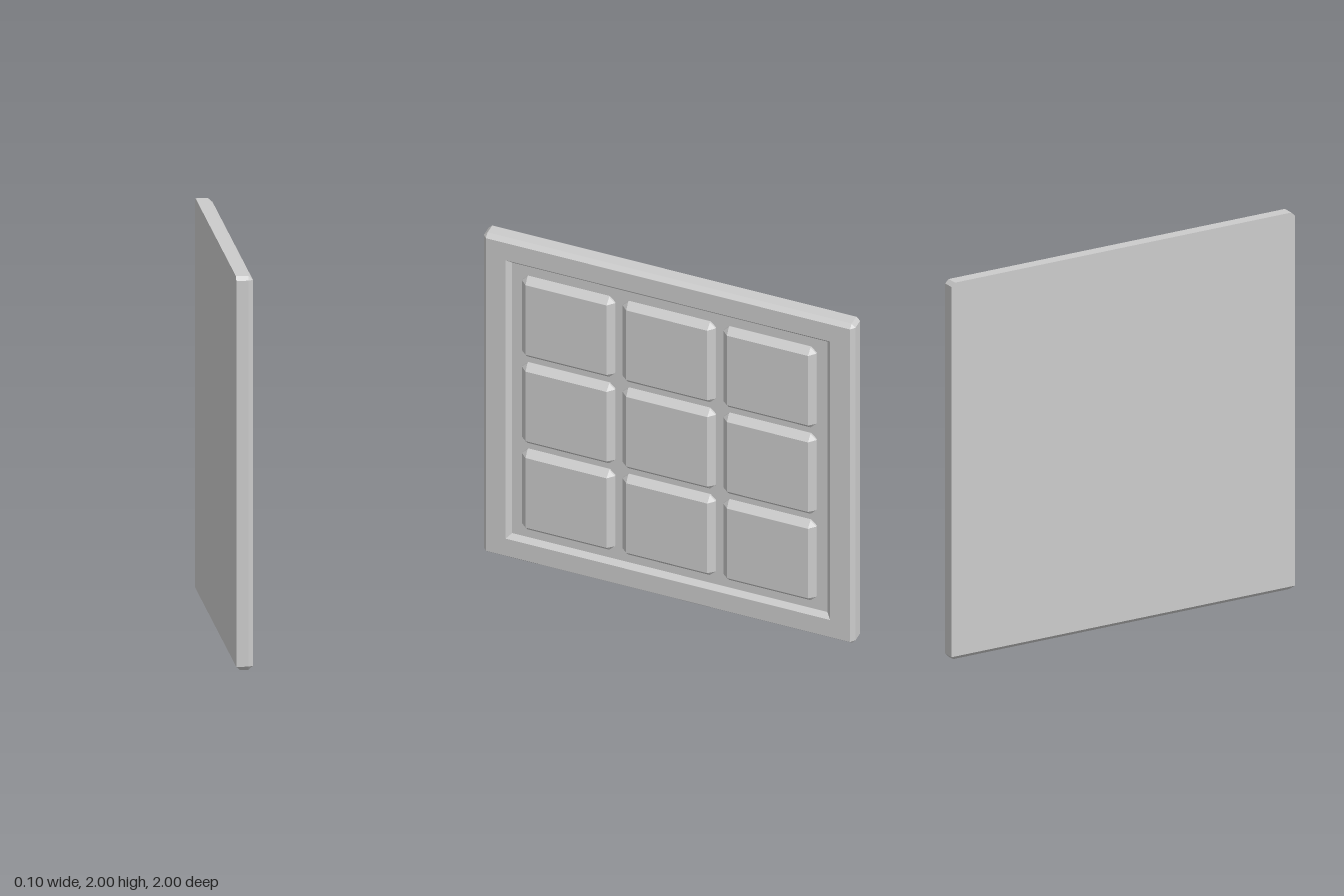
import * as THREE from 'three';

const material = new THREE.MeshStandardMaterial({ color: 0xcccccc, flatShading: true });

// Square outline with cut corners at depth x, counter-clockwise as seen from +x
function ring(x, half, cut = 0, lowest = -Infinity) {
  const a = half, b = half - cut;
  return [[a, -b], [a, b], [b, a], [-b, a], [-a, b], [-a, -b], [-b, -a], [b, -a]]
    .map(([u, v]) => new THREE.Vector3(x, Math.max(v, lowest), -u));
}

// Joins rings from back to front and closes both ends
function loft(rings) {
  const positions = [];
  const triangle = (a, b, c) => {
    if (new THREE.Triangle(a, b, c).getArea() < 1e-8) return;
    for (const p of [a, b, c]) positions.push(p.x, p.y, p.z);
  };
  for (let k = 0; k < rings.length - 1; k++) {
    const r = rings[k], s = rings[k + 1];
    for (let i = 0; i < 8; i++) {
      const j = (i + 1) % 8;
      triangle(r[i], r[j], s[j]);
      triangle(r[i], s[j], s[i]);
    }
  }
  const back = rings[0], front = rings[rings.length - 1];
  for (let i = 1; i < 7; i++) {
    triangle(back[0], back[i + 1], back[i]);
    triangle(front[0], front[i], front[i + 1]);
  }
  const geometry = new THREE.BufferGeometry();
  geometry.setAttribute('position', new THREE.Float32BufferAttribute(positions, 3));
  geometry.computeVertexNormals();
  return geometry;
}

export function createModel() {
  const model = new THREE.Group();
  model.name = 'panelledBoard';

  // Board: bevelled rim, raised border and sunken field
  const board = new THREE.Mesh(loft([
    ring(-0.05, 1, 0.02, -0.98),
    ring(-0.03, 1, 0.02),
    ring(0.012, 1, 0.02),
    ring(0.035, 0.98),
    ring(0.035, 0.873),
    ring(0.01, 0.848),
  ]), material);
  board.name = 'board';
  board.position.y = 1;
  model.add(board);

  // Nine raised tiles with bevelled edges
  const tileGeometry = loft([
    ring(0.005, 0.25, 0.03),
    ring(0.02, 0.25, 0.03),
    ring(0.05, 0.218),
  ]);
  const tiles = new THREE.Group();
  tiles.name = 'tiles';
  for (let row = -1; row <= 1; row++) {
    for (let column = -1; column <= 1; column++) {
      const tile = new THREE.Mesh(tileGeometry, material);
      tile.name = 'tile';
      tile.position.set(0, 1 + row * 0.542, column * 0.542);
      tiles.add(tile);
    }
  }
  model.add(tiles);
  return model;
}
